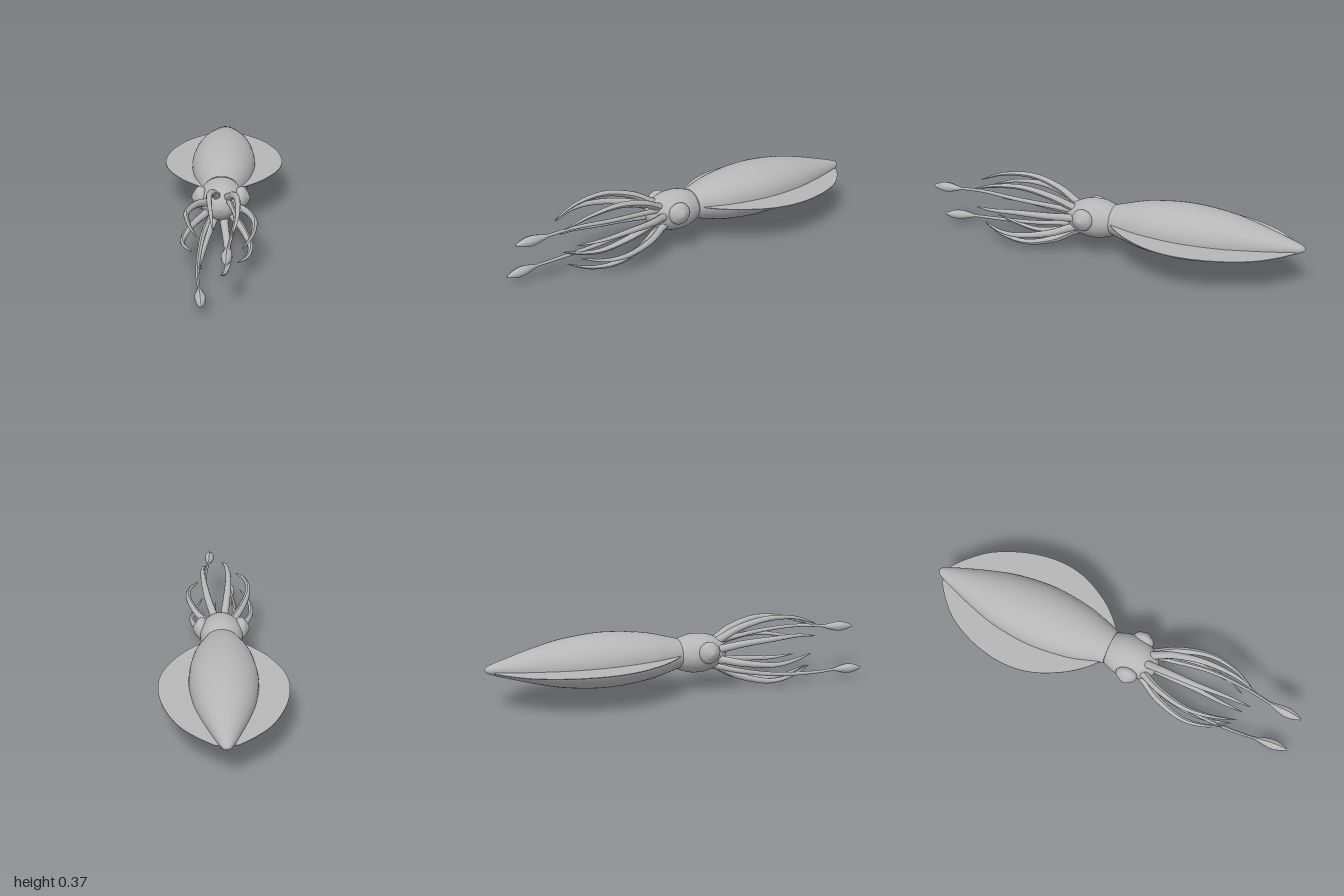
import * as THREE from 'three';

const skin = new THREE.MeshStandardMaterial({ color: 0xb6b6b6 });
skin.name = 'skin';

function add(group, name, geometry) {
  const mesh = new THREE.Mesh(geometry, skin);
  mesh.name = name;
  group.add(mesh);
  return mesh;
}

// Smooth body of revolution along z from [z, radius] pairs, flattened in y
function bodyOfRevolution(pairs, flatten) {
  const curve = new THREE.SplineCurve(pairs.map(([z, r]) => new THREE.Vector2(r, z)));
  const points = curve.getPoints(48).map((p) => new THREE.Vector2(Math.max(p.x, 0), p.y));
  return new THREE.LatheGeometry(points, 40).rotateX(Math.PI / 2).scale(1, flatten, 1);
}

// Tube along a curve whose radius follows radiusAt(t)
function taperedTube(points, radiusAt, segments = 40, sides = 10) {
  const curve = new THREE.CatmullRomCurve3(points);
  const geometry = new THREE.TubeGeometry(curve, segments, 1, sides);
  const pos = geometry.attributes.position;
  const v = new THREE.Vector3();
  for (let i = 0; i <= segments; i++) {
    const centre = curve.getPointAt(i / segments);
    const r = radiusAt(i / segments);
    for (let j = 0; j <= sides; j++) {
      const k = i * (sides + 1) + j;
      v.fromBufferAttribute(pos, k).sub(centre).multiplyScalar(r).add(centre);
      pos.setXYZ(k, v.x, v.y, v.z);
    }
  }
  geometry.computeVertexNormals();
  return geometry;
}

export function createModel() {
  const model = new THREE.Group();
  model.name = 'squid';

  // Mantle, pointed at the back, with a closing disc at the collar
  const mantle = add(model, 'mantle', bodyOfRevolution([
    [-1, 0], [-0.985, 0.02], [-0.95, 0.037], [-0.88, 0.063], [-0.75, 0.108], [-0.6, 0.148],
    [-0.4, 0.168], [-0.2, 0.148], [-0.08, 0.114], [-0.012, 0.09]], 0.815));
  mantle.position.y = 0.214;
  const collar = add(model, 'collar', new THREE.CircleGeometry(0.09, 40).scale(1, 0.815, 1));
  collar.position.set(0, 0.214, -0.012);

  // Head
  const head = add(model, 'head', bodyOfRevolution([
    [-0.04, 0.07], [0, 0.09], [0.05, 0.106], [0.1, 0.108], [0.15, 0.1],
    [0.2, 0.077], [0.235, 0.045], [0.25, 0]], 0.92));
  head.position.y = 0.207;

  for (const side of [1, -1]) {
    const label = side > 0 ? 'left' : 'right';

    // Thin, slightly tilted fin
    const edge = [[0.05, -0.955], [0.13, -0.89], [0.215, -0.79], [0.285, -0.63], [0.313, -0.46],
      [0.292, -0.31], [0.225, -0.17], [0.15, -0.075], [0.08, -0.015]];
    const shape = new THREE.Shape();
    shape.moveTo(0, -0.955);
    shape.lineTo(side * edge[0][0], edge[0][1]);
    shape.splineThru(edge.slice(1).map(([x, z]) => new THREE.Vector2(side * x, z)));
    shape.lineTo(0, -0.015);
    const fin = new THREE.ExtrudeGeometry(shape, { depth: 0.004, bevelEnabled: false, curveSegments: 36 });
    fin.translate(0, 0.46, -0.002).rotateX(Math.PI / 2 - 0.018);
    add(model, label + 'Fin', fin).position.set(0, 0.212, -0.46);

    // Eye with a raised iris and pupil
    const eye = new THREE.Group();
    eye.name = label + 'Eye';
    [['eyeball', 0, 0.056, 0.036], ['iris', 0.02, 0.036, 0.021], ['pupil', 0.034, 0.018, 0.01]]
      .forEach(([name, x, r, depth]) => {
        const ball = add(eye, name, new THREE.SphereGeometry(r, 24, 16).scale(depth / r, 1, 1));
        ball.position.x = side * x;
      });
    eye.position.set(side * 0.101, 0.226, 0.122);
    eye.rotation.y = side * -0.1;
    model.add(eye);
  }

  // Eight arms that arch outward and curl back toward their tips
  const arc = [[0.15, 0.05], [0.21, 0.078], [0.3, 0.13], [0.46, 0.174], [0.6, 0.162], [0.72, 0.115]];
  const stretch = [0.99, 1.06, 1.06, 0.99, 0.93, 0.95, 1.0, 0.93];
  stretch.forEach((s, i) => {
    const base = THREE.MathUtils.degToRad(15 + 45 * i);
    const points = arc.map(([z, r], k) => {
      const a = base - (k > 3 ? 0.06 * (k - 3) : 0);
      return new THREE.Vector3(Math.cos(a) * r, 0.195 + Math.sin(a) * r, 0.15 + (z - 0.15) * (k > 3 ? s : 1));
    });
    add(model, 'arm' + (i + 1), taperedTube(points, (t) => 0.021 * Math.pow(1 - t, 0.6) + 0.0008));
  });

  // Two long feeding tentacles ending in clubs
  const clubTube = (t) => {
    if (t < 0.8) return 0.015 - 0.008 * (t / 0.8);
    const u = (t - 0.8) / 0.2;
    return 0.007 * (1 - u) + 0.019 * Math.pow(Math.sin(Math.PI * Math.pow(u, 1.2)), 1.1) + 0.006 * u;
  };
  const paths = {
    upperTentacle: [[0.03, 0.235, 0.15], [0.055, 0.255, 0.3], [0.08, 0.275, 0.5], [0.07, 0.285, 0.7], [0.052, 0.27, 0.87], [0.047, 0.264, 0.998]],
    lowerTentacle: [[-0.04, 0.15, 0.15], [-0.075, 0.115, 0.28], [-0.092, 0.08, 0.48], [-0.09, 0.067, 0.7], [-0.073, 0.067, 0.87], [-0.06, 0.06, 0.998]],
  };
  for (const [name, path] of Object.entries(paths)) {
    const points = path.map((p) => new THREE.Vector3(...p));
    add(model, name, taperedTube(points, clubTube, 64));
    const tip = add(model, name + 'Tip', new THREE.SphereGeometry(0.006, 10, 8).scale(1, 1, 0.4));
    tip.position.copy(points[points.length - 1]);
  }

  return model;
}
